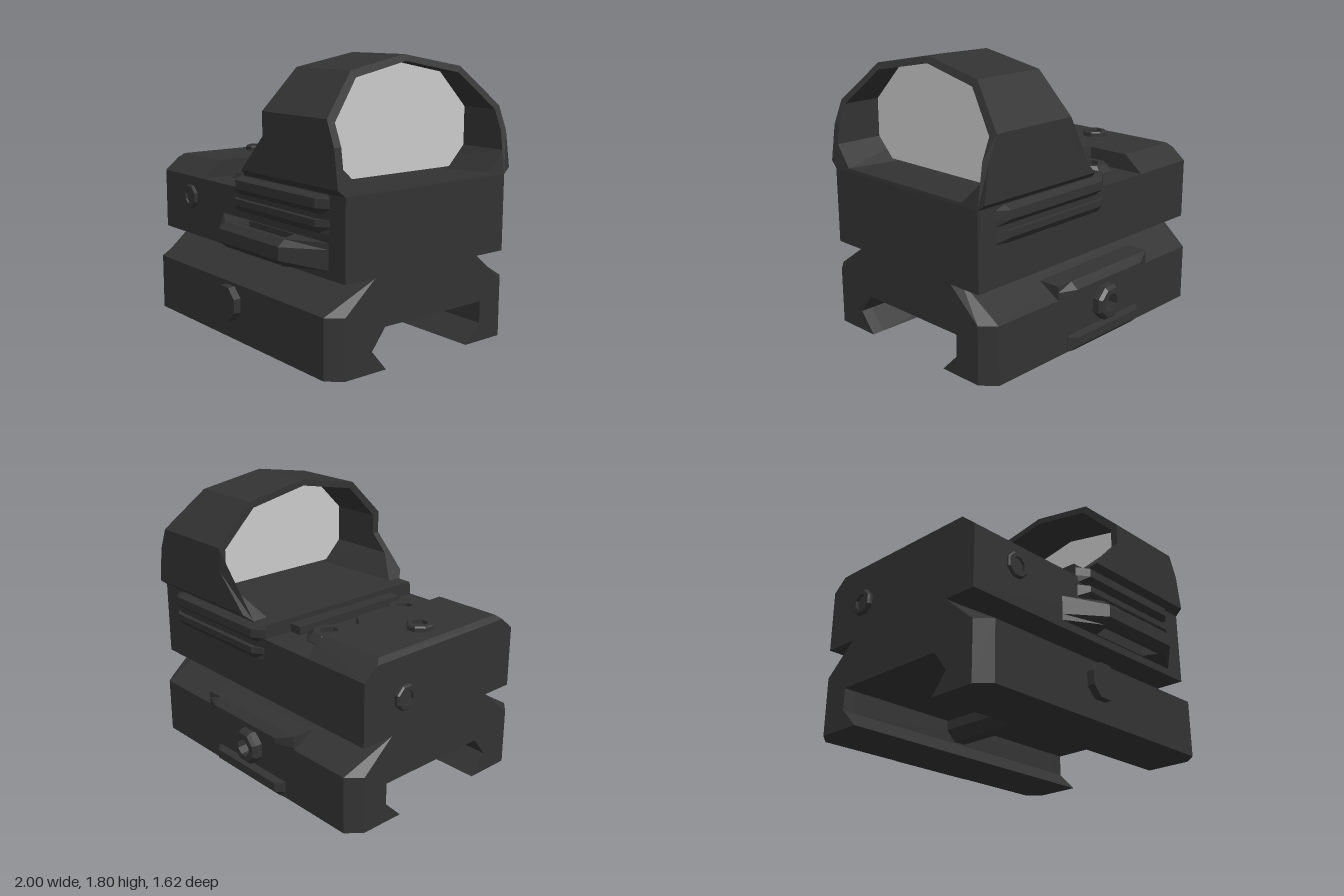
import * as THREE from 'three';

const dark = new THREE.MeshStandardMaterial({ color: 0x333333, flatShading: true });
const glass = new THREE.MeshStandardMaterial({ color: 0xcccccc, side: THREE.DoubleSide });
const MID = -0.015; // z of the housing's plane of symmetry

const clamp = (v, m) => Math.max(-m, Math.min(m, v));
const mirror = half => [...half, ...half.filter(p => p[0] !== 0).reverse().map(([z, y]) => [-z, y])];
const vecs = pts => pts.map(([a, b]) => new THREE.Vector2(a, b));

// Extrude an outline through several stations, then place each vertex by a rule
function loft(pts, count, place, hole) {
  const shape = new THREE.Shape(vecs(pts));
  if (hole) shape.holes.push(new THREE.Path(vecs(hole)));
  const geo = new THREE.ExtrudeGeometry(shape, { depth: count - 1, steps: count - 1, bevelEnabled: false });
  const p = geo.attributes.position;
  for (let i = 0; i < p.count; i++) {
    p.setXYZ(i, ...place(p.getX(i), p.getY(i), Math.round(p.getZ(i))));
  }
  geo.computeVertexNormals();
  return geo;
}

// Outline of [z, y] points running along x
const loftX = (pts, xs, rule = (x, y, z) => [x, y, z], hole) => {
  const flip = a => a && a.map(([z, y]) => [-z, y]);
  return loft(flip(pts), xs.length, (u, v, k) => rule(xs[k], v, -u, k), flip(hole));
};

// Outline of [x, z] points rising along y
const loftY = (pts, ys, rule = (x, y, z) => [x, y, z], hole) => {
  const flip = a => a && a.map(([x, z]) => [x, -z]);
  return loft(flip(pts), ys.length, (u, v, k) => rule(u, ys[k], -v, k), flip(hole));
};

// Eight-sided screw head with a socket, standing on y = 0
const screwHead = (r, h, bevel, socket) => new THREE.LatheGeometry(vecs([
  [r, -0.03], [r, h - bevel], [r - bevel, h], [socket, h], [socket, h * 0.3], [0, h * 0.3],
]), 8, Math.PI / 8);

export function createModel() {
  const model = new THREE.Group();
  const add = (name, geo, x = 0, y = 0, z = 0, mat = dark) => {
    const mesh = new THREE.Mesh(geo, mat);
    mesh.name = name;
    mesh.position.set(x, y, z);
    model.add(mesh);
    return mesh;
  };

  // Rail mount with dovetail groove and chamfered ends
  add('mountBase', loftX([
    [0.73, 0], [0.73, 0.37], [0.42, 0.56], [-0.42, 0.56], [-0.73, 0.37], [-0.73, 0],
    [-0.34, 0], [-0.46, 0.12], [-0.46, 0.26], [0.34, 0.26], [0.44, 0.13], [0.33, 0],
  ], [-0.97, -0.89, 0.92, 1], (x, y, z, k) => [x, y, k % 3 ? z : clamp(z, 0.64)]), 0, 0, -0.01);

  // Cross bolt through the mount, with a socket head at the back
  add('crossBolt', new THREE.CylinderGeometry(0.118, 0.118, 1.47, 8).rotateY(Math.PI / 8).rotateX(Math.PI / 2), -0.02, 0.24, 0.035);
  add('crossBoltHead', screwHead(0.118, 0.105, 0.02, 0.06).rotateX(-Math.PI / 2), -0.02, 0.24, -0.7);

  // Clamp ridges above and below the bolt head
  const ridgeEnds = (x, y, z, k) => [x, y, k % 3 ? z : Math.max(z, -0.742)];
  add('upperClampRidge', loftX([
    [-0.57, 0.37], [-0.57, 0.46], [-0.74, 0.46], [-0.79, 0.42], [-0.79, 0.385], [-0.74, 0.37],
  ], [-0.45, -0.33, 0.3, 0.42], ridgeEnds));
  add('lowerClampRidge', loftX([
    [-0.6, 0.002], [-0.6, 0.11], [-0.74, 0.11], [-0.79, 0.1], [-0.79, 0.04], [-0.75, 0.002],
  ], [-0.36, -0.31, 0.28, 0.33], ridgeEnds));

  // Housing
  add('housing', loftX(mirror([[0.645, 0.56], [0.645, 0.96]]), [-0.97, 1]), 0, 0, MID);

  // Raised rear cover, notched around the two deck screws
  const cover = mirror([[0.15, -0.38], [0.22, -0.48], [0.645, -0.48], [0.645, -0.97]]).map(([z, x]) => [x, z]);
  add('rearCover', loftY(cover, [0.96, 1.04, 1.07], (x, y, z) => [
    Math.max(x, -0.94 - (1.07 - y)), y, clamp(z, 0.51 + (1.07 - y) * 1.23),
  ]), 0, 0, MID);

  // Flat deck plate behind the lens
  const deck = mirror([[0.44, -0.18], [0.44, 0.08], [0.41, 0.22], [0.31, 0.3]]).map(([z, x]) => [x, z]);
  add('deckPlate', loftY(deck, [0.95, 1.015]), 0, 0, MID);

  // Lens hood: a ring trimmed by sloped front and rear edges
  const hoodOuter = mirror([[0, 1.8], [0.44, 1.72], [0.695, 1.47], [0.695, 1.32], [0.695, 1.09], [0.645, 1.05], [0.645, 0.95]]);
  const hoodInner = mirror([[0, 1.76], [0.415, 1.68], [0.645, 1.45], [0.645, 1.32], [0.645, 1.2], [0.515, 1.07]]);
  const frontEdge = y => (y > 1.32 ? 0.96 - (y - 1.32) * 0.417 : Math.min(1, 1 - (y - 1.05) * 0.148));
  const rearEdge = y => 0.29 - Math.max(0, 1.32 - y);
  add('lensHood', loftX(hoodOuter, [0, 1], (x, y, z, k) => {
    if (k === 1) return [frontEdge(y), y, z];
    const low = Math.abs(y - 1.07) < 0.001 ? 1.01 : y; // floor drops to the deck at the rear
    return [rearEdge(low), low, z];
  }, hoodInner), 0, 0, MID);

  // Lens pane
  add('lens', new THREE.ShapeGeometry(new THREE.Shape(vecs(hoodInner))).rotateY(Math.PI / 2), 0.65, 0, MID, glass);

  // Grip ribs along both sides
  const ribEnds = (x, y, z, k) => [x, y, k % 3 ? z : clamp(z, 0.64)];
  const ribXs = [-0.09, -0.01, 0.79, 0.87];
  add('upperRib', loftX(mirror([[0.63, 1.05], [0.695, 1.02], [0.695, 0.965], [0.63, 0.91]]), ribXs, ribEnds), 0, 0, MID);
  add('lowerRib', loftX(mirror([[0.63, 0.85], [0.665, 0.9], [0.695, 0.9], [0.695, 0.86], [0.665, 0.82], [0.63, 0.82]]), ribXs, ribEnds), 0, 0, MID);

  // Side guard: a bevelled bar with a slot behind it
  add('sideGuard', loftY(
    [[-0.23, 0.6], [-0.23, 0.63], [0, 0.81], [0.62, 0.81], [0.85, 0.63], [0.85, 0.6]],
    [0.61, 0.65, 0.73, 0.77],
    (x, y, z, k) => [x, y, k % 3 === 0 && z > 0.8 ? 0.765 : z],
    [[0.08, 0.64], [0.04, 0.735], [0.59, 0.735], [0.55, 0.64]],
  ));

  // Screws on the deck, rear cover, side and back
  for (const side of [-1, 1]) {
    add('deckScrew', screwHead(0.15, 0.05, 0.045, 0.06), -0.33, 0.96, MID + side * 0.33);
  }
  add('coverScrew', screwHead(0.085, 0.035, 0.01, 0.05), -0.78, 1.07, -0.02);
  add('sideScrew', screwHead(0.085, 0.02, 0.01, 0.05).rotateX(Math.PI / 2), -0.63, 0.82, 0.63);
  add('backScrew', screwHead(0.085, 0.03, 0.01, 0.05).rotateZ(Math.PI / 2), -0.97, 0.785, -0.34);

  return model;
}
